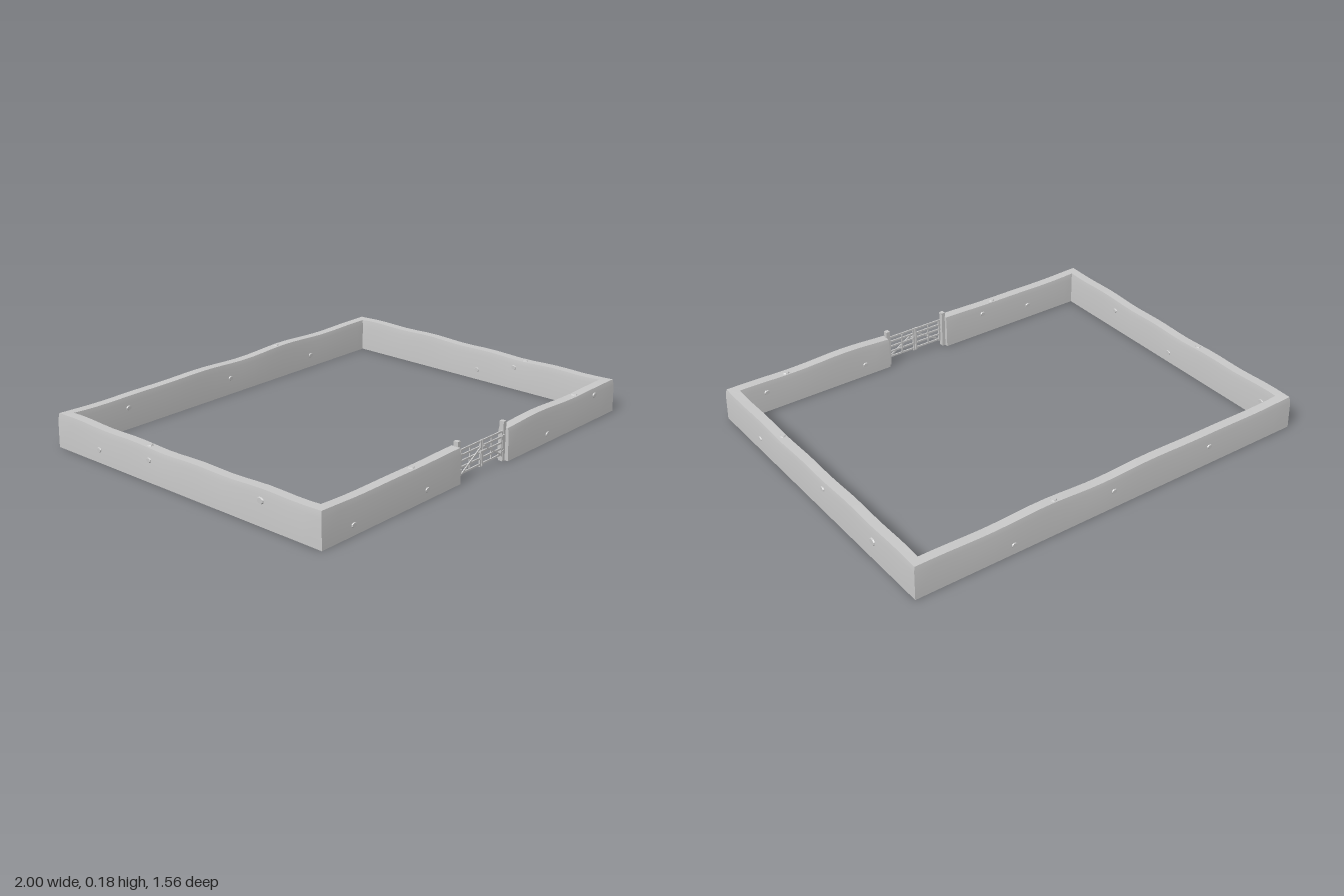
import * as THREE from 'three';
import { toCreasedNormals } from 'three/addons/utils/BufferGeometryUtils.js';

const CX = 0.97, CZ = 0.747, GATE = 0.165;

// gently uneven height of the wall top
const wallTop = (x, z) =>
  0.154 + 0.0035 * Math.sin(9 * x + 4 * z + 1) + 0.0025 * Math.sin(17 * z - 13 * x);

// Wall: one cross-section carried round the yard with mitred corners
function wallGeometry() {
  const corners = [[GATE, CZ], [CX, CZ], [CX, -CZ], [-CX, -CZ], [-CX, CZ], [-GATE, CZ]];
  const stations = [];
  for (let s = 0; s < 5; s++) {
    const [x0, z0] = corners[s], [x1, z1] = corners[s + 1];
    const n = Math.round(Math.hypot(x1 - x0, z1 - z0) / 0.07);
    for (let i = s ? 1 : 0; i <= n; i++) {
      const x = x0 + (x1 - x0) * i / n, z = z0 + (z1 - z0) * i / n;
      const ox = Math.abs(x) > CX - 1e-6 ? Math.sign(x) : 0;
      const oz = Math.abs(z) > CZ - 1e-6 ? Math.sign(z) : 0;
      stations.push({ x, z, ox, oz });
    }
  }
  const pos = [], idx = [], m = 6;
  for (const { x, z, ox, oz } of stations) {
    const h = wallTop(x, z);
    const profile = [[0.028, 0], [0.0265, 0.128], [0.022, h], [-0.022, h], [-0.0265, 0.128], [-0.028, 0]];
    for (const [o, y] of profile) pos.push(x + ox * o, y, z + oz * o);
  }
  const last = (stations.length - 1) * m;
  for (let i = 0; i < last; i += m) {
    for (let j = 0; j < m; j++) {
      const k = (j + 1) % m;
      idx.push(i + j, i + m + j, i + m + k, i + j, i + m + k, i + k);
    }
  }
  // end caps beside the gate
  for (let j = 1; j < m - 1; j++) {
    idx.push(0, j, j + 1, last, last + j + 1, last + j);
  }
  const g = new THREE.BufferGeometry();
  g.setAttribute('position', new THREE.Float32BufferAttribute(pos, 3));
  g.setIndex(idx);
  return toCreasedNormals(g, 0.5);
}

export function createModel() {
  const root = new THREE.Group();
  root.name = 'walledYard';
  const stone = new THREE.MeshStandardMaterial({ color: 0xc8c8c8 });
  stone.name = 'pale grey';

  const add = (parent, name, geometry, x, y, z) => {
    const mesh = new THREE.Mesh(geometry, stone);
    mesh.name = name;
    mesh.position.set(x, y, z);
    parent.add(mesh);
    return mesh;
  };

  add(root, 'wall', wallGeometry(), 0, 0, 0);

  // Raised stones: shallow eight-sided studs set into the wall faces
  const stud = toCreasedNormals(
    new THREE.CylinderGeometry(0.011, 0.017, 0.012, 8).rotateY(Math.PI / 8).rotateX(Math.PI / 2), 0.3);
  const stones = new THREE.Group();
  stones.name = 'raisedStones';
  root.add(stones);
  const addStone = (x, y, z, turn, width = 1) => {
    const s = add(stones, 'raisedStone', stud, x, y, z);
    s.rotation.y = turn;
    s.scale.set(width * 1.08, 0.85 * width, 1);
  };
  const R = Math.PI / 2, OUT = 0.026;
  // each row: facing, then [position along the wall, height, width]
  const faces = [
    ['frontOuter', [-0.82, 0.045], [-0.38, 0.045], [0.46, 0.04], [0.83, 0.122]],
    ['frontInner', [0.82, 0.1], [0.3, 0.06], [-0.66, 0.07], [-0.38, 0.11]],
    ['backOuter', [0.53, 0.045], [0.02, 0.085], [-0.51, 0.09]],
    ['backInner', [-0.65, 0.1], [-0.02, 0.08], [0.54, 0.06]],
    ['rightOuter', [0.455, 0.063], [-0.09, 0.115], [-0.475, 0.09, 1.4]],
    ['rightInner', [0.03, 0.05], [0.25, 0.11], [0.65, 0.09]],
    ['leftOuter', [-0.5, 0.06], [-0.18, 0.1], [0.46, 0.11, 1.3]],
    ['leftInner', [0.37, 0.1], [-0.03, 0.05], [-0.65, 0.09]],
  ];
  for (const [face, ...list] of faces) {
    const outer = face.endsWith('Outer') ? 1 : -1;
    for (const [t, y, w] of list) {
      if (face.startsWith('front')) addStone(t, y, CZ + outer * OUT, outer > 0 ? 0 : 2 * R, w);
      else if (face.startsWith('back')) addStone(t, y, -CZ - outer * OUT, outer > 0 ? 2 * R : 0, w);
      else {
        const side = face.startsWith('right') ? 1 : -1;
        addStone(side * (CX + outer * OUT), y, t, side * outer * R, w);
      }
    }
  }

  // Stones on top of the wall
  for (const [x, z, w] of [[0.32, -0.75, 1.05], [-0.97, -0.2, 1], [0.965, 0.3, 1], [-0.45, 0.745, 1.1], [0.705, 0.745, 1.2]]) {
    const s = add(stones, 'topStone', stud, x, wallTop(x, z), z);
    s.rotation.x = -R;
    s.scale.set(w, w, 0.8);
  }

  // Gate: two mirrored leaves between posts
  const gate = new THREE.Group();
  gate.name = 'gate';
  gate.position.z = 0.75;
  root.add(gate);
  for (const side of [-1, 1]) {
    const bar = (name, w, h, d, x, y, z) =>
      add(gate, name, new THREE.BoxGeometry(w, h, d), side * x, y, z);
    bar('gatePost', 0.019, 0.18, 0.022, 0.158, 0.09, -0.003);
    bar('hingeStile', 0.008, 0.115, 0.008, 0.142, 0.082, 0.004);
    bar('meetingStile', 0.008, 0.12, 0.008, 0.006, 0.082, 0.004);
    bar('middleStile', 0.006, 0.1, 0.005, 0.075, 0.082, 0.001);
    for (const y of [0.033, 0.06, 0.087, 0.113, 0.137]) {
      bar('rail', 0.144, 0.008, 0.006, 0.076, y, 0.004);
    }
    // brace rising from the hinge to the middle of the gate
    const brace = bar('brace', Math.hypot(0.128, 0.08), 0.007, 0.005, 0.074, 0.073, 0.009);
    brace.rotation.z = -side * Math.atan2(0.08, 0.128);
    for (const y of [0.05, 0.12]) bar('hinge', 0.014, 0.006, 0.008, 0.147, y, 0.008);
  }
  add(gate, 'latch', new THREE.BoxGeometry(0.034, 0.01, 0.008), 0, 0.092, 0.011);

  return root;
}
